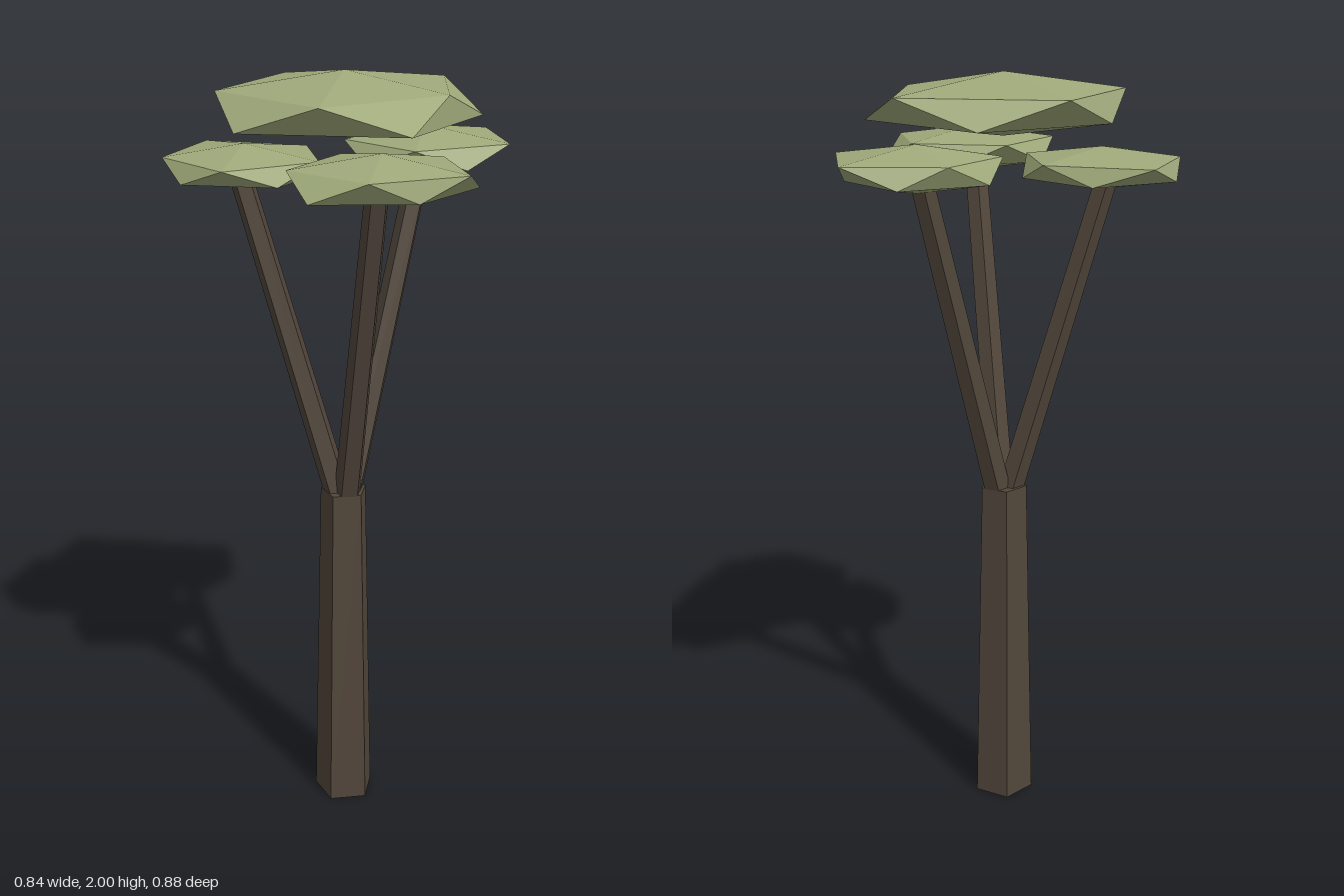
import * as THREE from 'three';

const bark = new THREE.MeshStandardMaterial({ color: 0x51463b, flatShading: true });
bark.name = 'bark brown';
const leaf = new THREE.MeshStandardMaterial({ color: 0x9fa97a, flatShading: true });
leaf.name = 'leaf green';

// Flattened, uneven icosahedron: two staggered five-point rings between two poles
function canopyGeometry(height, upperRadii, lowerRadii) {
  const half = height / 2, ringY = half * 0.447;
  const points = [0, half, 0, 0, -half, 0];
  const addRing = (radii, y, turn) => radii.forEach((r, i) => {
    const a = (i + turn) * Math.PI * 2 / 5;
    points.push(Math.cos(a) * r, y, Math.sin(a) * r);
  });
  addRing(upperRadii, ringY, 0);
  addRing(lowerRadii, -ringY, 0.5);
  const index = [];
  for (let i = 0; i < 5; i++) {
    const j = (i + 1) % 5;
    const u = 2 + i, u2 = 2 + j, l = 7 + i, l2 = 7 + j;
    index.push(0, u2, u, u, u2, l, l, u2, l2, 1, l, l2);
  }
  const geometry = new THREE.BufferGeometry();
  geometry.setAttribute('position', new THREE.Float32BufferAttribute(points, 3));
  geometry.setIndex(index);
  const flat = geometry.toNonIndexed();
  flat.computeVertexNormals();
  return flat;
}

// Tapered five-sided limb between two points
function limb(name, from, to, r0, r1) {
  const a = new THREE.Vector3(...from), b = new THREE.Vector3(...to);
  const dir = b.clone().sub(a);
  const mesh = new THREE.Mesh(new THREE.CylinderGeometry(r1, r0, dir.length(), 5), bark);
  mesh.name = name;
  mesh.position.copy(a).add(b).multiplyScalar(0.5);
  mesh.quaternion.setFromUnitVectors(new THREE.Vector3(0, 1, 0), dir.normalize());
  return mesh;
}

export function createModel() {
  const tree = new THREE.Group();
  tree.name = 'tree';

  // Trunk and the three spreading branches
  tree.add(limb('trunk', [0.01, 0, 0.042], [0.01, 0.92, 0.042], 0.083, 0.063));
  tree.add(limb('rightBranch', [-0.002, 0.9, 0.05], [-0.23, 1.74, 0.13], 0.036, 0.03));
  tree.add(limb('frontBranch', [0.024, 0.9, 0.052], [0.187, 1.755, 0.215], 0.036, 0.03));
  tree.add(limb('backBranch', [0.016, 0.9, 0.026], [0.102, 1.755, -0.205], 0.036, 0.03));

  // Foliage pads: centre, height, upper and lower ring radii
  const pads = [
    ['topCanopy', [0.01, 1.922, 0.04], 0.156,
      [0.275, 0.343, 0.31, 0.348, 0.357], [0.34, 0.35, 0.295, 0.34, 0.343]],
    ['rightCanopy', [-0.22, 1.77, 0.13], 0.104,
      [0.21, 0.23, 0.2, 0.25, 0.21], [0.2, 0.2, 0.2, 0.2, 0.2]],
    ['frontCanopy', [0.2, 1.786, 0.22], 0.116,
      [0.22, 0.2, 0.22, 0.21, 0.21], [0.178, 0.233, 0.21, 0.2, 0.23]],
    ['backCanopy', [0.11, 1.786, -0.215], 0.116,
      [0.23, 0.22, 0.21, 0.19, 0.235], [0.21, 0.21, 0.2, 0.195, 0.172]],
  ];
  for (const [name, centre, height, upper, lower] of pads) {
    const mesh = new THREE.Mesh(canopyGeometry(height, upper, lower), leaf);
    mesh.name = name;
    mesh.position.set(...centre);
    tree.add(mesh);
  }
  return tree;
}
